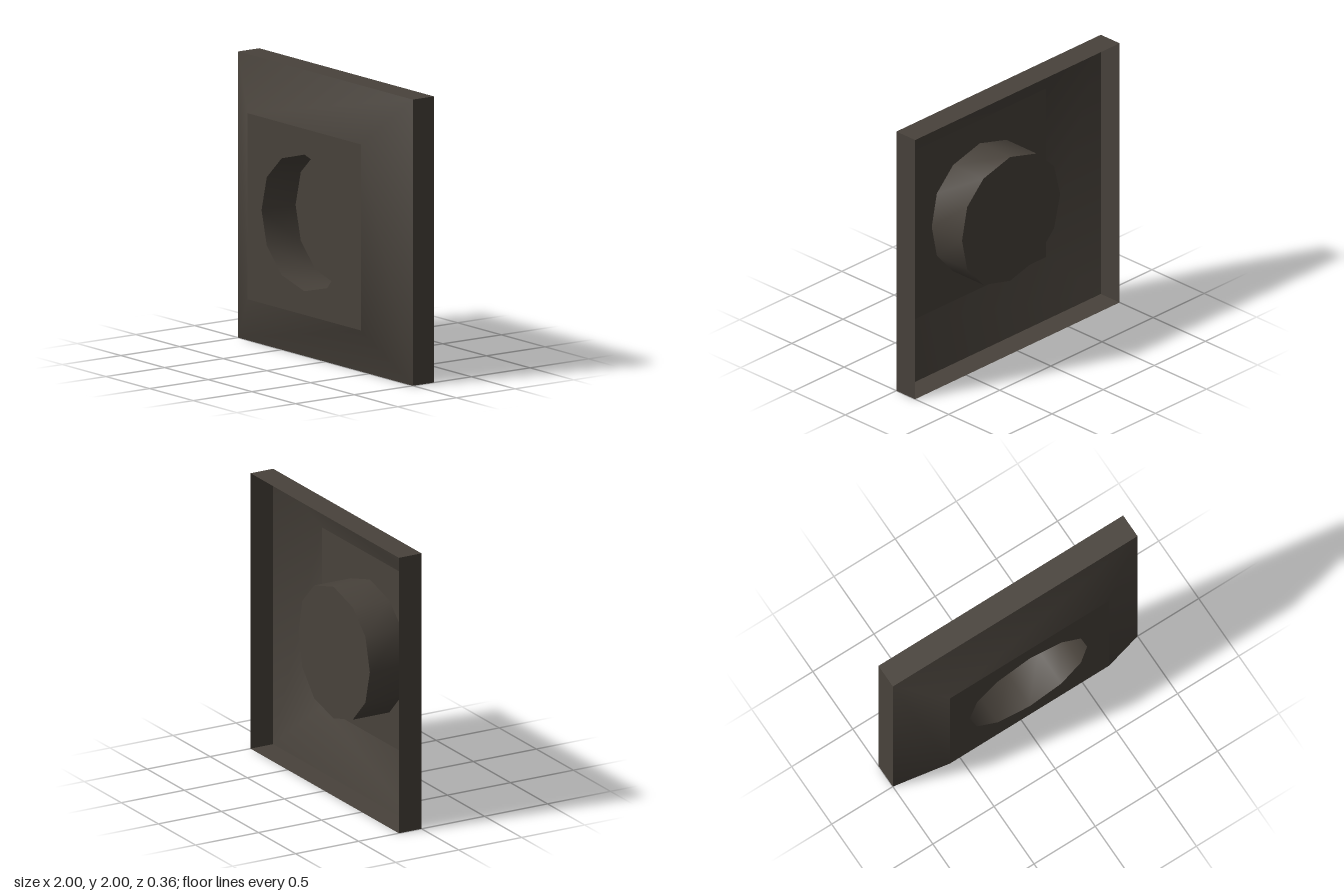
import * as THREE from 'three';

const square = (half) => [[-half, -half], [half, -half], [half, half], [-half, half]];

// slightly hand-cut twelve-sided opening, counter-clockwise from +x
const ring = [
  [0.47, 0], [0.42, 0.24], [0.26, 0.4], [0, 0.47], [-0.26, 0.4], [-0.43, 0.24],
  [-0.49, 0], [-0.43, -0.24], [-0.26, -0.415], [0, -0.485], [0.26, -0.42], [0.42, -0.24],
];

// strip of quads joining two closed loops, smooth or faceted
function band(loopA, zA, loopB, zB, smooth) {
  const n = loopA.length;
  const points = [
    ...loopA.map(([x, y]) => [x, y, zA]),
    ...loopB.map(([x, y]) => [x, y, zB]),
  ];
  const index = [];
  for (let i = 0; i < n; i++) {
    const j = (i + 1) % n;
    index.push(i, j, n + j, i, n + j, n + i);
  }
  let geometry = new THREE.BufferGeometry();
  geometry.setAttribute('position', new THREE.Float32BufferAttribute(points.flat(), 3));
  geometry.setIndex(index);
  if (!smooth) geometry = geometry.toNonIndexed();
  geometry.computeVertexNormals();
  return geometry;
}

const toVectors = (loop) => loop.map(([x, y]) => new THREE.Vector2(x, y));

export function createModel() {
  const group = new THREE.Group();
  group.name = 'recessedPanel';

  const darkBrown = new THREE.MeshStandardMaterial({ color: 0x48423b, side: THREE.DoubleSide });
  darkBrown.name = 'darkBrown';

  const add = (name, geometry) => {
    const mesh = new THREE.Mesh(geometry, darkBrown);
    mesh.name = name;
    mesh.position.y = 1;
    group.add(mesh);
  };

  const front = 0.18, rim = 0, back = -0.18, wellBack = -0.11;
  const outer = square(1), inner = square(0.65);

  // open-backed shell: straight skirt and sloping border
  add('skirt', band(outer, back, outer, rim, false));
  add('slopedBorder', band(outer, rim, inner, front, true));

  // flat front plate with the opening cut out
  const plate = new THREE.Shape(toVectors(inner));
  plate.holes.push(new THREE.Path(toVectors(ring)));
  add('frontPlate', new THREE.ShapeGeometry(plate).translate(0, 0, front));

  // round well sunk behind the plate
  add('wellWall', band(ring, front, ring, wellBack, true));
  add('wellFloor', new THREE.ShapeGeometry(new THREE.Shape(toVectors(ring))).translate(0, 0, wellBack));

  return group;
}
